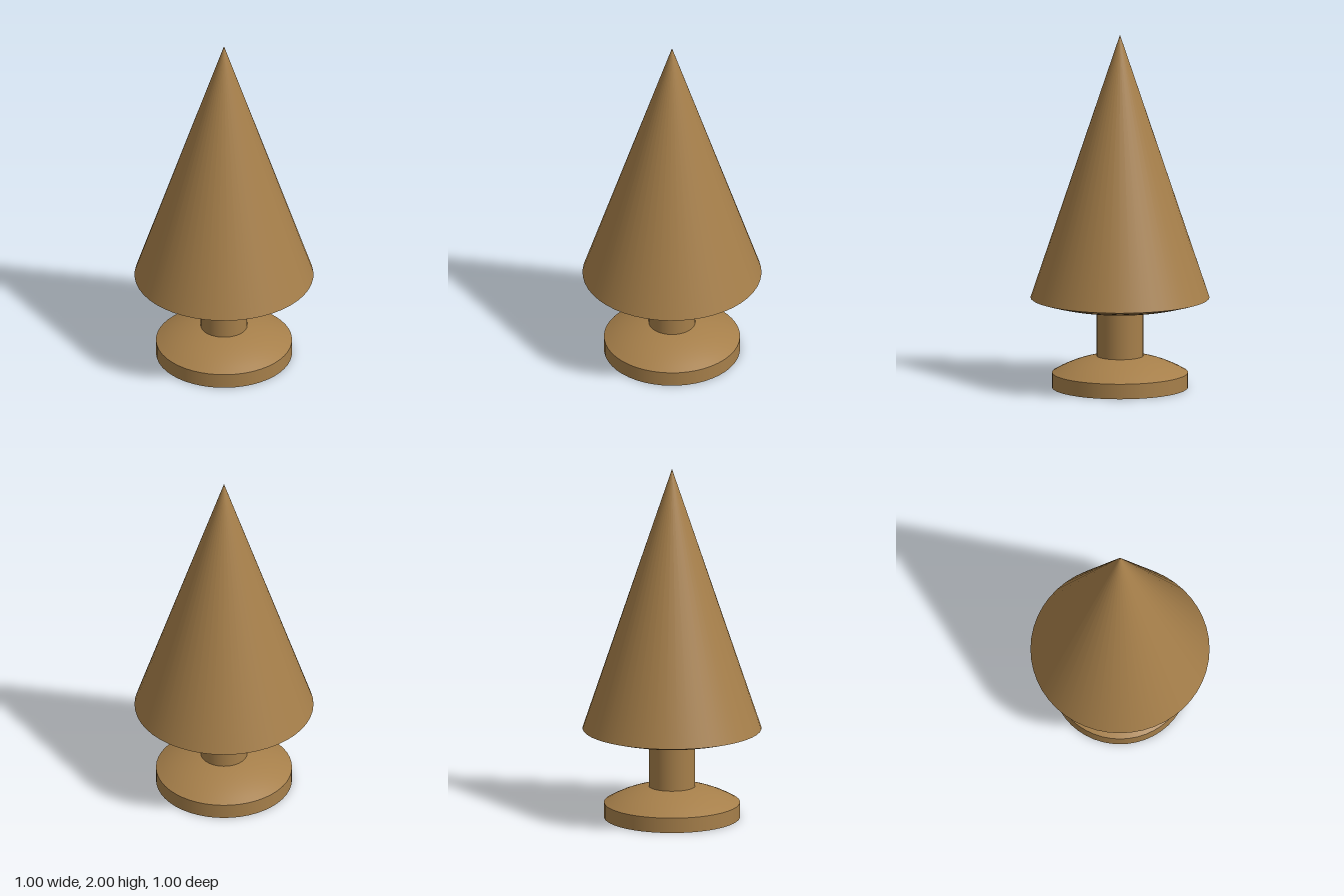
import * as THREE from 'three';

const SEGMENTS = 48;

// Shallow circular-looking cap profile between an edge (radius, yEdge) and its apex on the axis
function capProfile(radius, yEdge, yApex, steps = 10) {
  const sag = Math.abs(yApex - yEdge);
  const R = (radius * radius + sag * sag) / (2 * sag);
  const dir = Math.sign(yApex - yEdge);
  const points = [];
  for (let i = 0; i <= steps; i++) {
    const r = radius * (1 - i / steps);
    points.push(new THREE.Vector2(r, yApex - dir * (R - Math.sqrt(R * R - r * r))));
  }
  return dir > 0 ? points : points.reverse(); // always rising, so faces look outward
}

export function createModel() {
  const model = new THREE.Group();
  model.name = 'coneTree';
  const wood = new THREE.MeshStandardMaterial({ color: 0xa67f4a });
  wood.name = 'wood brown';

  const add = (name, geometry, y = 0) => {
    const mesh = new THREE.Mesh(geometry, wood);
    mesh.name = name;
    mesh.position.y = y;
    model.add(mesh);
  };

  // Base disc with domed top
  add('baseDisc', new THREE.CylinderGeometry(0.38, 0.38, 0.085, SEGMENTS), 0.0425);
  add('baseDome', new THREE.LatheGeometry(capProfile(0.38, 0.085, 0.19), SEGMENTS));

  // Trunk between the dome and the crown
  add('trunk', new THREE.CylinderGeometry(0.13, 0.13, 0.3, SEGMENTS, 1, true), 0.31);

  // Crown: tall cone over a bulging underside
  add('crownCone', new THREE.ConeGeometry(0.5, 1.49, SEGMENTS, 1, true), 1.255);
  add('crownUnderside', new THREE.LatheGeometry(capProfile(0.5, 0.51, 0.432), SEGMENTS));

  return model;
}
